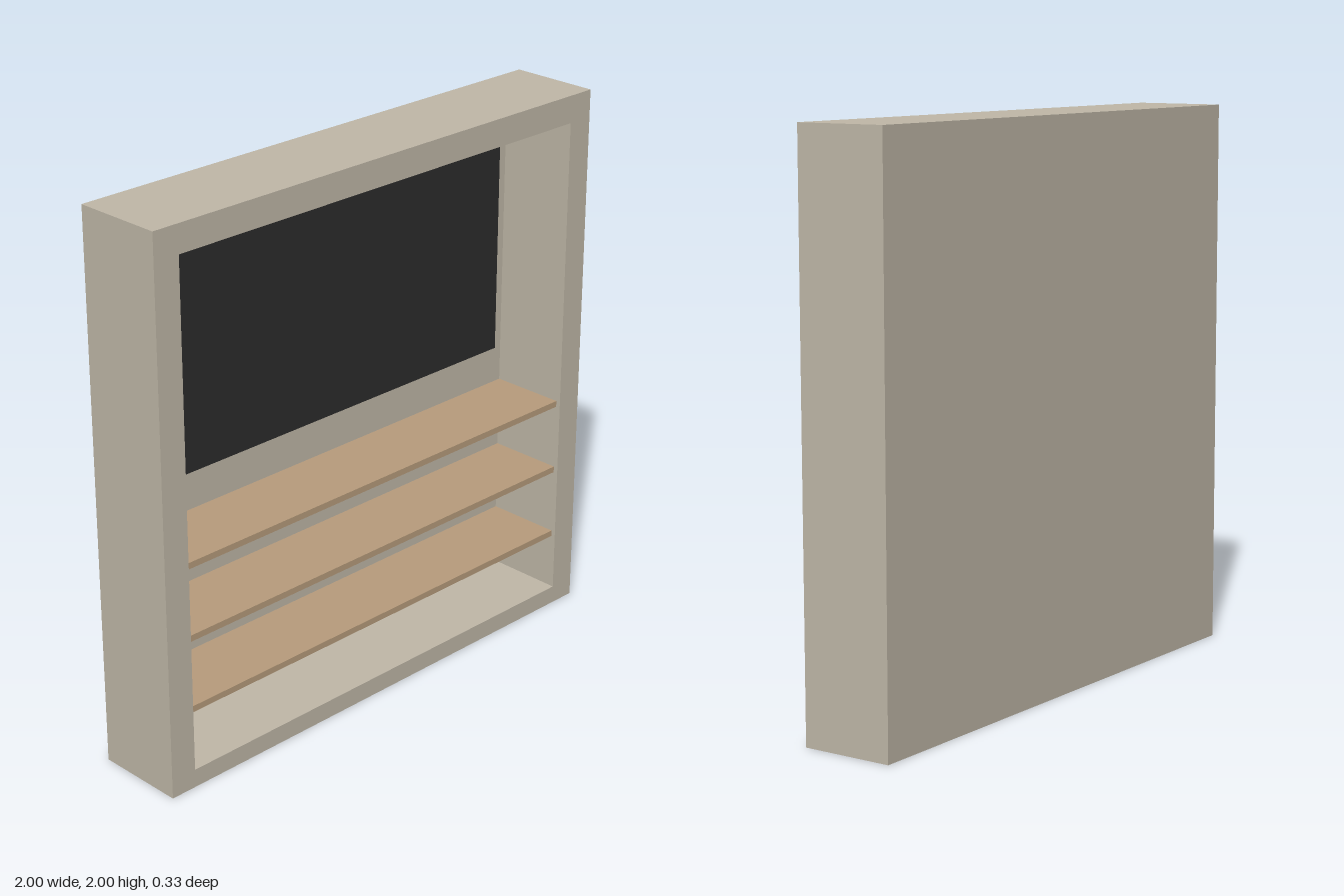
import * as THREE from 'three';

const FRONT = 0.167, BACK = -0.167, RECESS = -0.133;

function part(name, geometry, color) {
  const mesh = new THREE.Mesh(geometry, new THREE.MeshStandardMaterial({ color }));
  mesh.name = name;
  return mesh;
}

// Four corners of a rectangle, counter-clockwise seen from the front
function ring(halfWidth, bottom, top, z) {
  return [[-halfWidth, bottom, z], [halfWidth, bottom, z], [halfWidth, top, z], [-halfWidth, top, z]];
}

// One seamless shell: outer back, outer front, opening rim, recess floor
function cabinetGeometry() {
  const rings = [
    ring(1, 0, 2, BACK),
    ring(1, 0, 2, FRONT),
    ring(0.9, 0.067, 1.9, FRONT),
    ring(0.9, 0.067, 1.9, RECESS),
  ];
  const positions = [];
  const quad = (a, b, c, d) => positions.push(...a, ...b, ...c, ...a, ...c, ...d);
  for (let r = 0; r < 3; r++) {
    for (let k = 0; k < 4; k++) {
      const n = (k + 1) % 4;
      quad(rings[r][k], rings[r][n], rings[r + 1][n], rings[r + 1][k]);
    }
  }
  quad(...[...rings[0]].reverse());
  quad(...rings[3]);
  const geometry = new THREE.BufferGeometry();
  geometry.setAttribute('position', new THREE.Float32BufferAttribute(positions, 3));
  geometry.computeVertexNormals();
  return geometry;
}

export function createModel() {
  const group = new THREE.Group();
  group.name = 'wallUnit';

  group.add(part('cabinet', cabinetGeometry(), 0xc0b8a8));

  // Dark flat panel just in front of the recess floor
  const screen = part('screen', new THREE.PlaneGeometry(1.733, 0.8), 0x2b2b2b);
  screen.material.side = THREE.DoubleSide;
  screen.position.set(0, 1.37, RECESS + 0.004);
  group.add(screen);

  // Wooden shelves, set slightly back from the front
  const depth = 0.283;
  for (let i = 0; i < 3; i++) {
    const shelf = part('shelf' + (i + 1), new THREE.BoxGeometry(1.8, 0.023, depth), 0xb89c7c);
    shelf.position.set(0, 0.288 + i * 0.267, RECESS + depth / 2);
    group.add(shelf);
  }

  return group;
}
